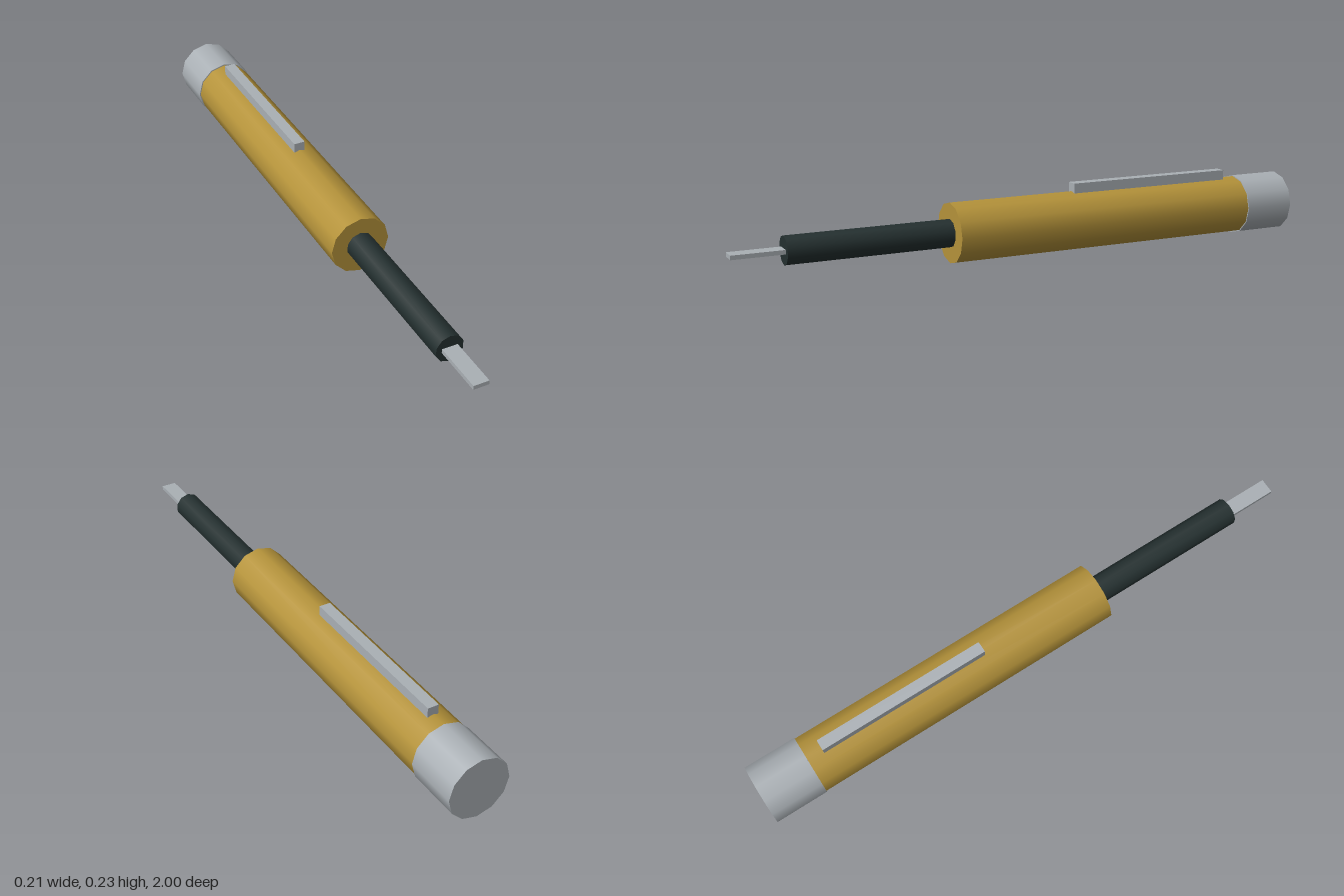
import * as THREE from 'three';

const AXIS_Y = 0.106; // height of the shared long axis

function material(name, color) {
  const m = new THREE.MeshStandardMaterial({ color });
  m.name = name;
  return m;
}

export function createModel() {
  const group = new THREE.Group();
  group.name = 'pocketScrewdriver';
  const brass = material('brass', 0xb5933a);
  const steel = material('steel', 0xaab0b5);
  const darkGrip = material('darkGrip', 0x243030);

  const add = (name, geometry, mat, y, z0, z1) => {
    const mesh = new THREE.Mesh(geometry, mat);
    mesh.name = name;
    mesh.position.set(0, y, (z0 + z1) / 2);
    group.add(mesh);
  };

  // Round part lying along z
  const rod = (name, radius, sides, z0, z1, mat) =>
    add(name, new THREE.CylinderGeometry(radius, radius, z1 - z0, sides).rotateX(Math.PI / 2),
      mat, AXIS_Y, z0, z1);

  // Rectangular bar lying along z
  const bar = (name, width, y0, y1, z0, z1, mat) =>
    add(name, new THREE.BoxGeometry(width, y1 - y0, z1 - z0), mat, (y0 + y1) / 2, z0, z1);

  rod('endCap', 0.104, 12, -1, -0.82, steel);
  rod('barrel', 0.1005, 12, -0.82, 0.28, brass);
  rod('shaft', 0.047, 10, 0.28, 0.83, darkGrip);
  bar('blade', 0.052, AXIS_Y - 0.007, AXIS_Y + 0.007, 0.82, 1, steel);
  bar('pocketClip', 0.038, 0.195, 0.235, -0.765, -0.165, steel);

  return group;
}
